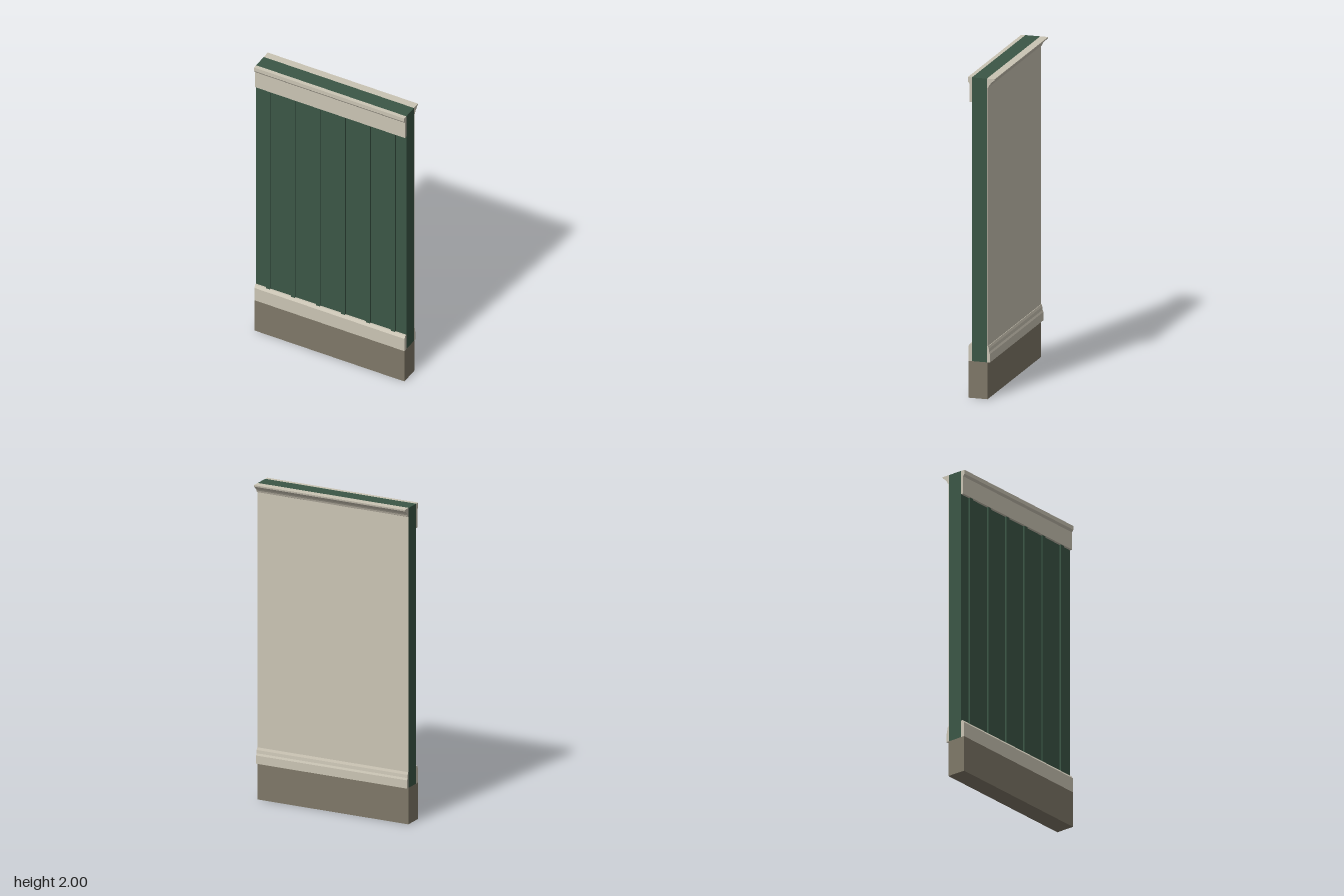
import * as THREE from 'three';

const W = 1.036; // panel width

export function createModel() {
  const group = new THREE.Group();
  const mat = (name, color) => {
    const m = new THREE.MeshStandardMaterial({ color });
    m.name = name;
    return m;
  };
  const green = mat('green siding', 0x3b5646);
  const cream = mat('cream trim', 0xcac4b4);
  const stone = mat('stone base', 0x7f7868);

  const add = (name, geometry, material) => {
    const mesh = new THREE.Mesh(geometry, material);
    mesh.name = name;
    group.add(mesh);
    return mesh;
  };

  // Box given by its ranges in x, y and z
  const block = (name, material, x0, x1, y0, y1, z0, z1) => {
    const g = new THREE.BoxGeometry(x1 - x0, y1 - y0, z1 - z0);
    g.translate((x0 + x1) / 2, (y0 + y1) / 2, (z0 + z1) / 2);
    return add(name, g, material);
  };

  // Moulding: a (z, y) profile swept across the full width
  const moulding = (name, material, profile) => {
    const shape = new THREE.Shape(profile.map(([z, y]) => new THREE.Vector2(z, y)));
    const g = new THREE.ExtrudeGeometry(shape, { depth: W, bevelEnabled: false });
    g.rotateY(-Math.PI / 2).translate(W / 2, 0, 0);
    return add(name, g, material);
  };

  // Foundation, wall core and inner lining
  block('foundation', stone, -W / 2, W / 2, 0, 0.23, -0.042, 0.08);
  block('wallCore', green, -W / 2, W / 2, 0.23, 2, -0.037, 0.057);
  block('backLining', cream, -W / 2, W / 2, 0.23, 2, -0.042, -0.037);

  // Vertical battens on the front
  for (let i = 0; i < 6; i++) {
    const x = (i - 2.5) * W / 6;
    block('batten' + (i + 1), green, x - 0.014, x + 0.014, 0.335, 1.85, 0.057, 0.068);
  }

  // Front frieze with a projecting cap, and skirt with a sloped top
  moulding('frontFrieze', cream, [
    [0.057, 1.845], [0.073, 1.845], [0.073, 1.96], [0.083, 1.974], [0.083, 2], [0.057, 2],
  ]);
  moulding('frontSkirt', cream, [
    [0.057, 0.23], [0.08, 0.23], [0.08, 0.323], [0.068, 0.34], [0.057, 0.34],
  ]);

  // Back crown moulding and baseboard
  moulding('backCrown', cream, [
    [-0.042, 2], [-0.087, 2], [-0.085, 1.99], [-0.073, 1.982],
    [-0.06, 1.968], [-0.052, 1.957], [-0.047, 1.945], [-0.042, 1.943],
  ]);
  moulding('backBaseboard', cream, [
    [-0.042, 0.23], [-0.057, 0.23], [-0.057, 0.282], [-0.052, 0.295],
    [-0.05, 0.315], [-0.045, 0.33], [-0.042, 0.33],
  ]);

  return group;
}
